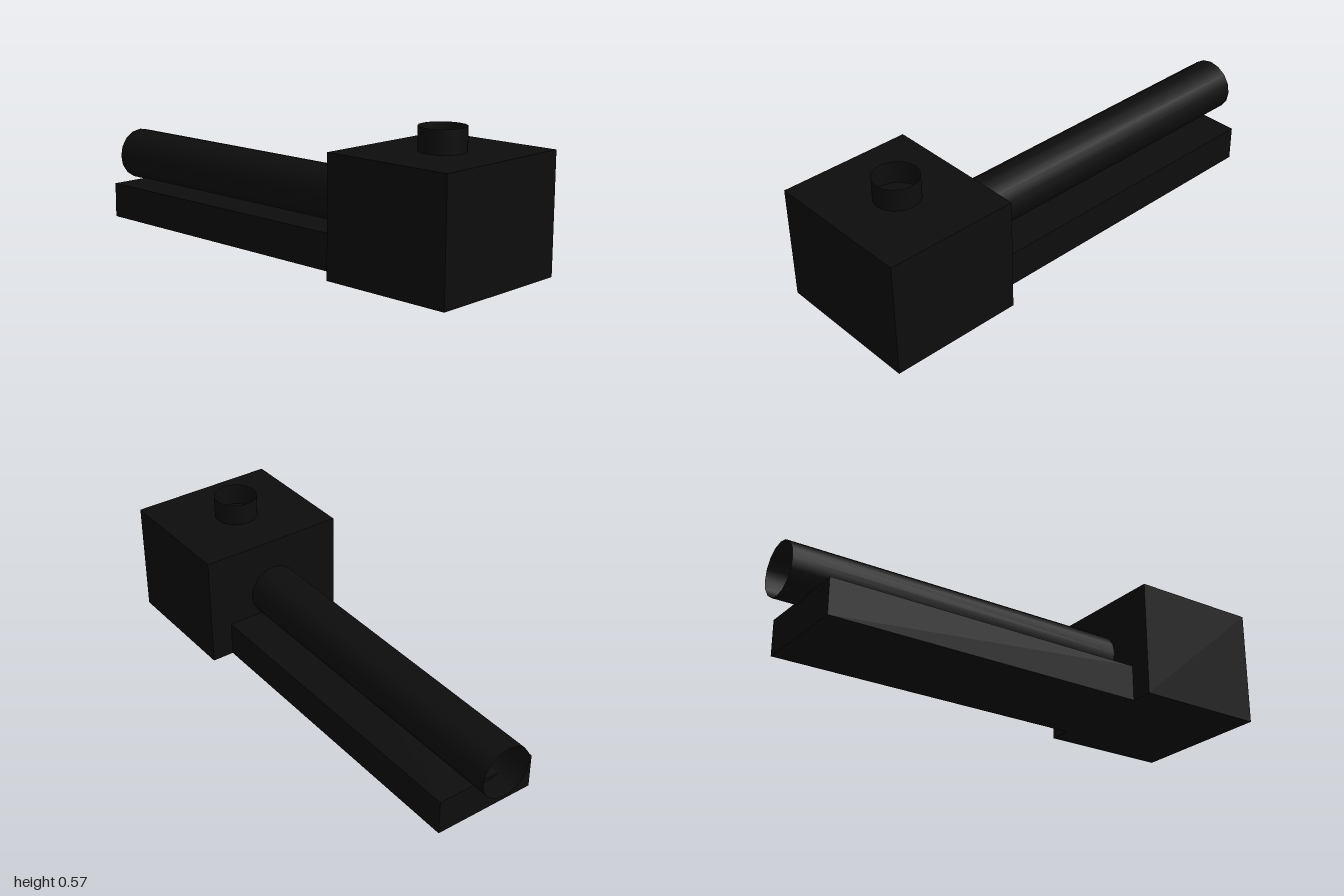
import * as THREE from 'three';

export function createModel() {
  const group = new THREE.Group();
  const black = new THREE.MeshStandardMaterial({ color: 0x0d0d0d });
  // the tubes are open shells, so their insides show
  const blackShell = black.clone();
  blackShell.side = THREE.DoubleSide;
  black.name = 'black';
  blackShell.name = 'blackOpenTube';

  function add(name, geometry, material, x, y, z) {
    const mesh = new THREE.Mesh(geometry, material);
    mesh.name = name;
    mesh.position.set(x, y, z);
    group.add(mesh);
    return mesh;
  }

  // large block at the front
  add('frontBlock', new THREE.BoxGeometry(0.62, 0.474, 0.545), black, 0, 0.237, 0.7275);

  // flat rail under the tube
  add('baseRail', new THREE.BoxGeometry(0.434, 0.146, 1.36), black, 0, 0.073, -0.225);

  // long open tube, sunk slightly into the rail
  const tube = add('longTube', new THREE.CylinderGeometry(0.109, 0.109, 1.455, 16, 1, true),
    blackShell, 0, 0.24, -0.2725);
  tube.rotation.x = Math.PI / 2;

  // short open collar on top of the block
  add('topCollar', new THREE.CylinderGeometry(0.091, 0.091, 0.092, 16, 1, true),
    blackShell, 0, 0.52, 0.728);

  return group;
}
